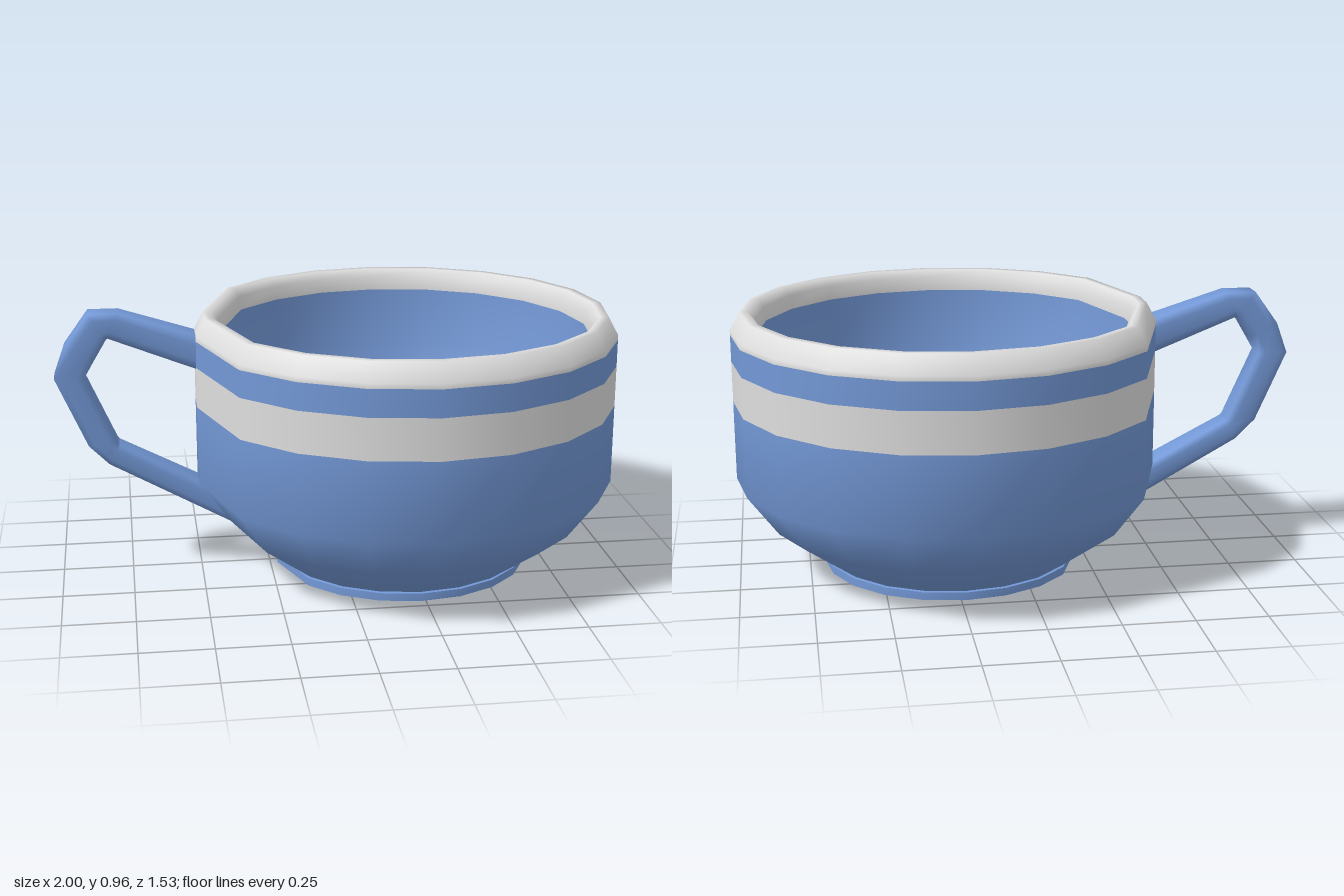
import * as THREE from 'three';

const blue = new THREE.MeshStandardMaterial({ color: 0x7398d6, side: THREE.DoubleSide });
blue.name = 'blue glaze';
const grey = new THREE.MeshStandardMaterial({ color: 0xdfdede });
grey.name = 'pale grey glaze';

const CUP_X = 0.235;

// Twenty-sided ring with one flat side under the handle
const angles = [];
for (let i = -8; i <= 8; i++) angles.push((i * Math.PI) / 10);
angles.push((175.4 * Math.PI) / 180, (184.6 * Math.PI) / 180);

function finish(positions, index) {
  const geo = new THREE.BufferGeometry();
  geo.setAttribute('position', new THREE.Float32BufferAttribute(positions, 3));
  geo.setIndex(index);
  geo.computeVertexNormals();
  return geo;
}

// Join neighbouring rings of n points with quads
function bridge(rings, n) {
  const idx = [];
  for (let j = 0; j < rings - 1; j++) {
    for (let i = 0; i < n; i++) {
      const p = j * n + i, q = j * n + ((i + 1) % n);
      idx.push(p, p + n, q, q, p + n, q + n);
    }
  }
  return idx;
}

// Revolve a profile of [radius, height, material index] around the cup axis;
// flat pulls in the side under the handle
function revolve(profile, flat) {
  const n = angles.length, pos = [];
  for (const [r, y] of profile) {
    angles.forEach((a, i) => {
      const d = i > 16 ? r * flat : r;
      pos.push(CUP_X + d * Math.cos(a), y, d * Math.sin(a));
    });
  }
  const geo = finish(pos, bridge(profile.length, n));
  for (let j = 0; j < profile.length - 1; j++) geo.addGroup(j * n * 6, n * 6, profile[j][2] || 0);
  return geo;
}

// Bevelled box section: [depth from outer to inner side, share of half width]
const section = [
  [0, 0.85], [0.25, 1], [0.75, 1], [1, 0.85],
  [1, -0.85], [0.75, -1], [0.25, -1], [0, -0.85],
];

// Skin sections along a path of [outer x, outer y, inner x, inner y, half width]
function sweep(path) {
  const pos = [];
  for (const [ox, oy, ix, iy, w] of path) {
    for (const [t, s] of section) pos.push(ox + (ix - ox) * t, oy + (iy - oy) * t, w * s);
  }
  return finish(pos, bridge(path.length, section.length));
}

export function createModel() {
  const group = new THREE.Group();
  const add = (name, geo, mat) => {
    const mesh = new THREE.Mesh(geo, mat);
    mesh.name = name;
    group.add(mesh);
  };

  // Outer wall, rim and rounded inner bowl with the two painted bands
  add('cupBody', revolve([
    [0.45, 0.03, 0], [0.655, 0.18, 0], [0.765, 0.33, 0],
    [0.765, 0.612, 1], [0.765, 0.757, 0], [0.765, 0.852, 1],
    [0.765, 0.87, 1], [0.73, 0.933, 1], [0.7, 0.933, 1], [0.678, 0.905, 1],
    [0.672, 0.855, 0], [0.66, 0.65, 0], [0.6, 0.43, 0], [0.5, 0.28, 0],
    [0.35, 0.16, 0], [0.18, 0.1, 0], [0, 0.08, 0],
  ], 0.97), [blue, grey]);

  // Foot ring, open underneath so the bowl shows inside
  add('footTop', revolve([[0.46, 0.028], [0.44, 0.032]], 1), blue);
  add('footSide', revolve([[0.46, 0], [0.46, 0.028]], 1), blue);

  // Angular loop handle
  add('handle', sweep([
    [-0.46, 0.86, -0.46, 0.735, 0.06],
    [-0.5, 0.87, -0.5, 0.75, 0.06],
    [-0.77, 0.957, -0.81, 0.87, 0.05],
    [-0.875, 0.957, -0.815, 0.865, 0.05],
    [-0.96, 0.84, -0.86, 0.79, 0.05],
    [-1, 0.73, -0.895, 0.73, 0.05],
    [-0.89, 0.48, -0.787, 0.485, 0.05],
    [-0.82, 0.41, -0.78, 0.478, 0.05],
    [-0.4, 0.18, -0.5, 0.33, 0.06],
    [-0.37, 0.165, -0.45, 0.305, 0.06],
  ]), blue);

  return group;
}
